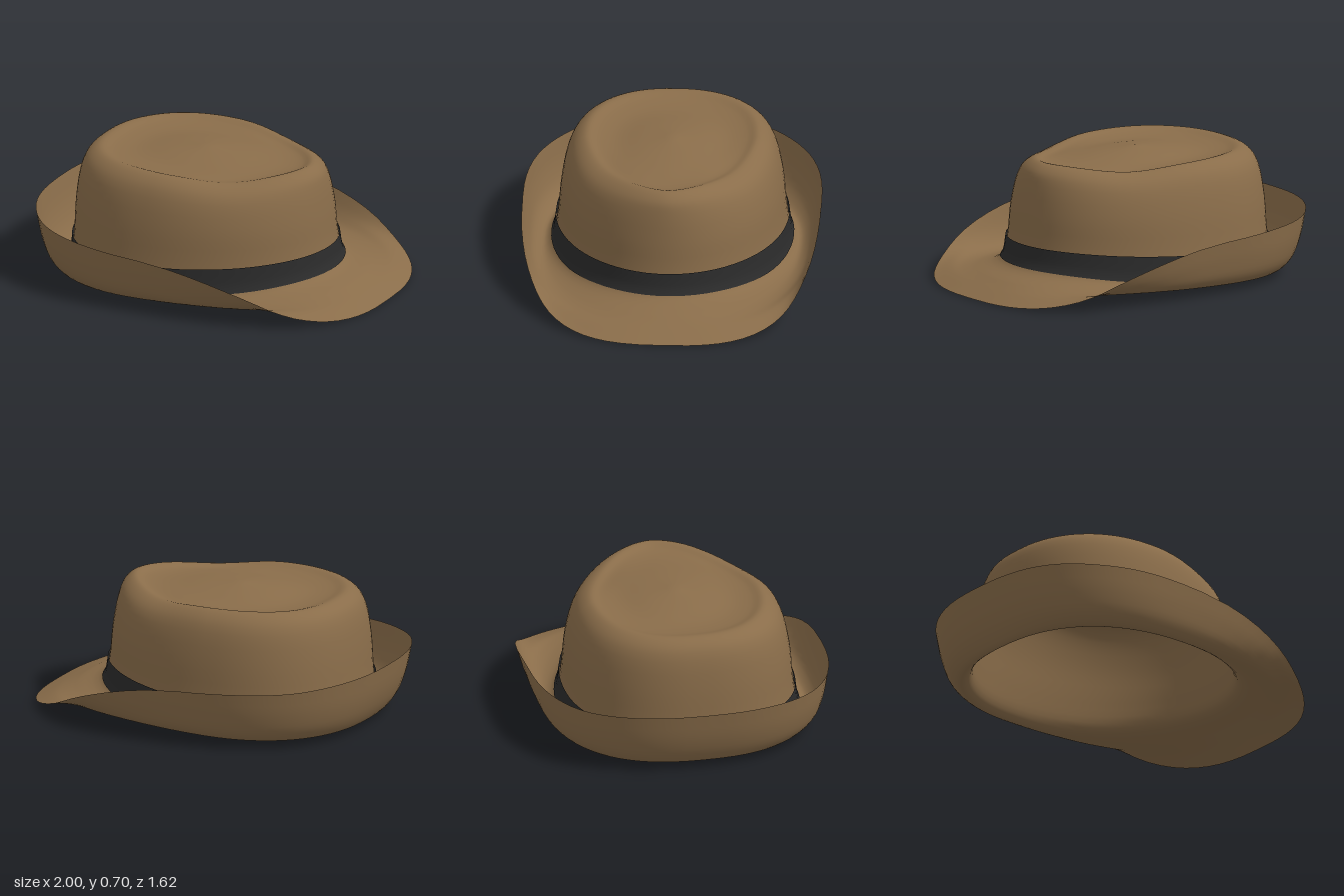
import * as THREE from 'three';
import { mergeVertices } from 'three/addons/utils/BufferGeometryUtils.js';

const SEGMENTS = 72;

// Rings from brim edge to crown centre: rear x, front x, half width,
// rear and front roundness, heights evenly spaced from rear to front.
const RINGS = [
  [-1.0, 1.0, 0.81, 2.5, 2.75, [0.36, 0.338, 0.328, 0.315, 0.298, 0.25, 0.17, 0.06, 0]],
  [-0.965, 0.9, 0.785, 2.5, 2.6, [0.2, 0.19, 0.18, 0.11, 0.042]],
  [-0.92, 0.85, 0.75, 2.5, 2.4, [0.09, 0.085, 0.085, 0.07, 0.062]],
  [-0.87, 0.8, 0.695, 2.4, 2.2, [0.032, 0.035, 0.045, 0.06, 0.082]],
  [-0.828, 0.668, 0.648, 2.3, 2.0, [0.07, 0.07, 0.08, 0.095, 0.132]],
  [-0.812, 0.636, 0.622, 2.3, 2.0, [0.2, 0.2, 0.21, 0.23, 0.25]],
  [-0.8, 0.62, 0.6, 2.3, 2.0, [0.42]],
  [-0.775, 0.598, 0.565, 2.3, 1.9, [0.58, 0.58, 0.575, 0.565, 0.58]],
  [-0.74, 0.575, 0.525, 2.3, 1.8, [0.65, 0.65, 0.645, 0.625, 0.65]],
  [-0.68, 0.52, 0.465, 2.3, 1.7, [0.685, 0.688, 0.682, 0.658, 0.69]],
  [-0.6, 0.46, 0.4, 2.4, 1.7, [0.668, 0.67, 0.665, 0.65, 0.668]],
  [-0.48, 0.35, 0.3, 2.3, 1.8, [0.66]],
  [-0.3, 0.12, 0.16, 2, 2, [0.682]],
  [-0.1, -0.1, 0, 2, 2, [0.703]],
];
const LAST = RINGS.length - 1;

// Smooth lookup in evenly spaced values, u from -1 to 1
function lookup(values, u) {
  if (values.length === 1) return values[0];
  const curve = new THREE.SplineCurve(values.map((v, i) => new THREE.Vector2(i, v)));
  return curve.getPoint(THREE.MathUtils.clamp((u + 1) / 2, 0, 1)).y;
}

function ringPoint([rear, front, width, rearN, frontN, heights], angle) {
  const c = Math.cos(angle), s = Math.sin(angle);
  const mid = THREE.MathUtils.lerp(rear, front, 0.44);
  const n = c < 0 ? rearN : frontN;
  const power = (v) => Math.sign(v) * Math.abs(v) ** (2 / n);
  const x = mid + power(c) * (c < 0 ? mid - rear : front - mid);
  const u = front > rear ? (2 * (x - rear)) / (front - rear) - 1 : 0;
  return new THREE.Vector3(x, lookup(heights, u), width * power(s));
}

// Surface through the rings between two ring positions, pushed outward
function loft(from, to, steps, outward = 0) {
  const positions = [], index = [];
  for (let i = 0; i < SEGMENTS; i++) {
    const angle = (i / SEGMENTS) * Math.PI * 2;
    const profile = new THREE.CatmullRomCurve3(RINGS.map((r) => ringPoint(r, angle)));
    for (let j = 0; j <= steps; j++) {
      const p = profile.getPoint(THREE.MathUtils.lerp(from, to, j / steps) / LAST);
      positions.push(p.x + outward * Math.cos(angle), p.y, p.z + outward * Math.sin(angle));
      if (j === steps) continue;
      const a = i * (steps + 1) + j;
      const b = ((i + 1) % SEGMENTS) * (steps + 1) + j;
      index.push(a, a + 1, b, b, a + 1, b + 1);
    }
  }
  let geometry = new THREE.BufferGeometry();
  geometry.setAttribute('position', new THREE.Float32BufferAttribute(positions, 3));
  geometry.setIndex(index);
  geometry = mergeVertices(geometry, 1e-5);
  geometry.computeVertexNormals();
  return geometry;
}

export function createModel() {
  const felt = new THREE.MeshStandardMaterial({ color: 0x8a6d4a, side: THREE.DoubleSide });
  felt.name = 'brown felt';
  const ribbon = new THREE.MeshStandardMaterial({ color: 0x2b2b2b, side: THREE.DoubleSide });
  ribbon.name = 'black ribbon';

  const hat = new THREE.Group();
  hat.name = 'hat';
  const add = (name, geometry, material) => {
    const mesh = new THREE.Mesh(geometry, material);
    mesh.name = name;
    hat.add(mesh);
  };

  // Brim and hollow crown are one continuous felt shell
  add('brimAndCrown', loft(0, LAST, LAST * 4), felt);
  // Ribbon wrapped round the foot of the crown
  add('hatBand', loft(4, 5, 4, 0.009), ribbon);
  return hat;
}
